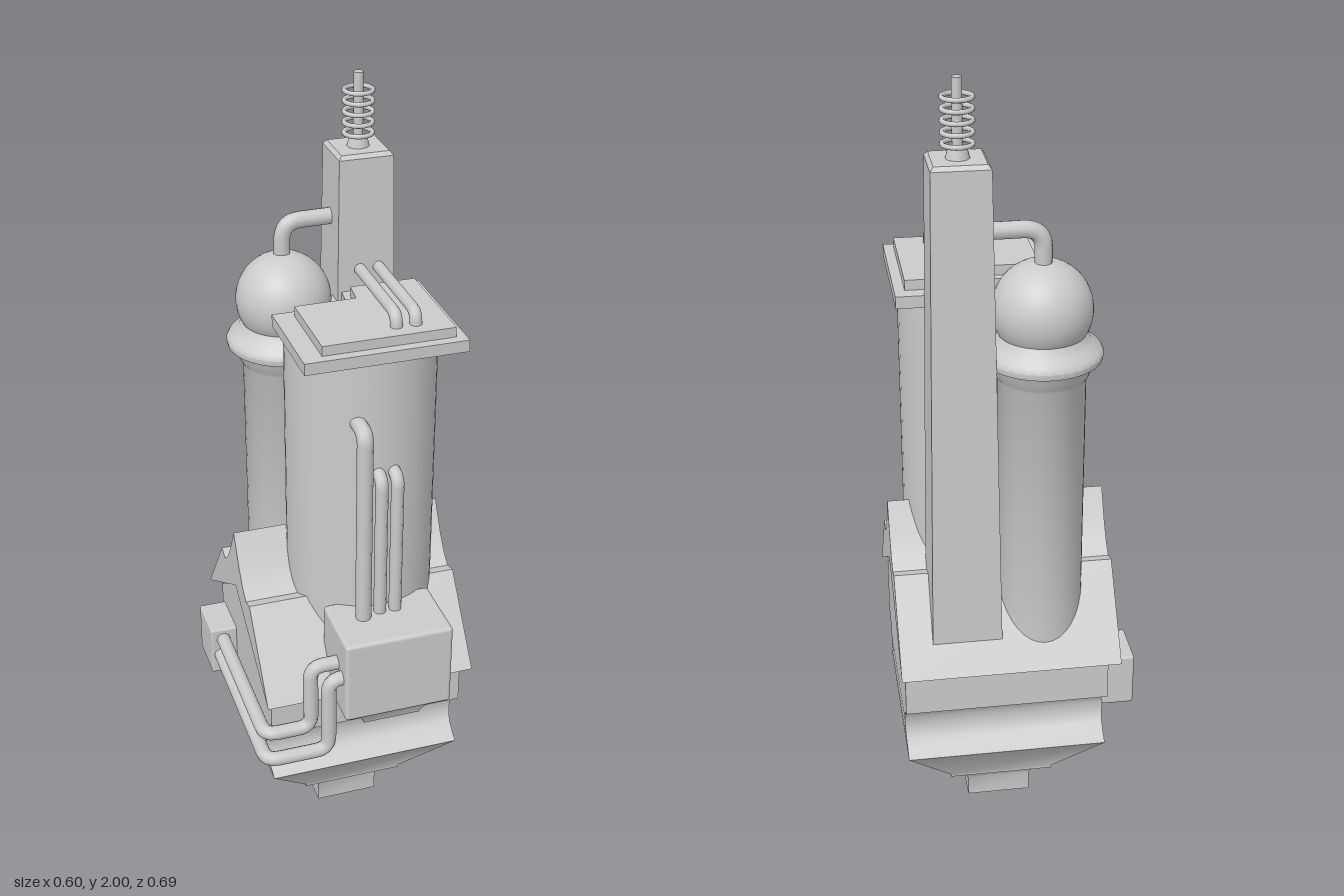
import * as THREE from 'three';
import { toCreasedNormals } from 'three/addons/utils/BufferGeometryUtils.js';
import { RoundedBoxGeometry } from 'three/addons/geometries/RoundedBoxGeometry.js';

const V = (x, y, z) => new THREE.Vector3(x, y, z);

export function createModel() {
  const model = new THREE.Group();
  const material = new THREE.MeshStandardMaterial({ color: 0xcccccc });

  function add(name, geometry, x = 0, y = 0, z = 0) {
    const mesh = new THREE.Mesh(geometry, material);
    mesh.name = name;
    mesh.position.set(x, y, z);
    model.add(mesh);
    return mesh;
  }

  // Rectangular cross-sections [y, halfX, halfZ] joined from bottom to top
  function loft(rings, crease = 0.6) {
    const corners = [[-1, 1], [1, 1], [1, -1], [-1, -1]];
    const positions = [];
    const indices = [];
    for (const [y, hx, hz] of rings)
      for (const [sx, sz] of corners) positions.push(sx * hx, y, sz * hz);
    for (let r = 0; r < rings.length - 1; r++) {
      for (let i = 0; i < 4; i++) {
        const a = r * 4 + i, b = r * 4 + (i + 1) % 4;
        indices.push(a, b, b + 4, a, b + 4, a + 4);
      }
    }
    const t = (rings.length - 1) * 4;
    indices.push(0, 2, 1, 0, 3, 2, t, t + 1, t + 2, t, t + 2, t + 3);
    const g = new THREE.BufferGeometry();
    g.setAttribute('position', new THREE.Float32BufferAttribute(positions, 3));
    g.setIndex(indices);
    return toCreasedNormals(g, crease);
  }

  // Tube through points, each inner corner rounded off by bend
  function pipe(name, points, radius, bend = 0.04) {
    const path = new THREE.CurvePath();
    let from = points[0];
    for (let i = 1; i < points.length - 1; i++) {
      const p = points[i];
      const before = p.clone().add(points[i - 1].clone().sub(p).setLength(bend));
      const after = p.clone().add(points[i + 1].clone().sub(p).setLength(bend));
      path.add(new THREE.LineCurve3(from, before));
      path.add(new THREE.QuadraticBezierCurve3(before, p, after));
      from = after;
    }
    path.add(new THREE.LineCurve3(from, points[points.length - 1]));
    add(name, new THREE.TubeGeometry(path, 72, radius, 10));
  }

  // Body: stem, flared hopper, grooved front and back, gable ends
  add('body', loft([
    [0, 0.083, 0.083], [0.055, 0.083, 0.083], [0.07, 0.09, 0.09], [0.085, 0.103, 0.103],
    [0.105, 0.135, 0.135], [0.112, 0.135, 0.135], [0.262, 0.255, 0.25], [0.275, 0.255, 0.225],
    [0.295, 0.256, 0.2], [0.32, 0.257, 0.19], [0.35, 0.258, 0.19], [0.375, 0.258, 0.2],
    [0.395, 0.258, 0.222], [0.405, 0.258, 0.247], [0.56, 0.258, 0.247], [0.715, 0.258, 0.001],
  ], 0.7), 0.027, 0, -0.047);

  // Roof: ridge profile with concave crown, run along x
  const half = [[0.3, 0.54], [0.14, 0.75], [0.105, 0.74], [0.075, 0.765], [0.045, 0.805], [0, 0.885]];
  const roofShape = new THREE.Shape([
    ...half, ...half.slice(0, -1).reverse().map(([z, y]) => [-z, y]), [0, 0.722],
  ].map(([z, y]) => new THREE.Vector2(z - 0.047, y)));
  const roof = new THREE.ExtrudeGeometry(roofShape, { depth: 0.55, bevelEnabled: false });
  roof.rotateY(-Math.PI / 2);
  add('roof', toCreasedNormals(roof, 0.5), 0.297);

  // Main round tower with a two-step cap
  add('tower', new THREE.CylinderGeometry(0.187, 0.187, 0.9, 48), 0.065, 1.0, 0.01);
  function plate(name, outline, y, height) {
    const shape = new THREE.Shape(outline.map(([x, z]) => new THREE.Vector2(x, -z)));
    const g = new THREE.ExtrudeGeometry(shape, { depth: height, bevelEnabled: false });
    add(name, g.rotateX(-Math.PI / 2), 0, y, 0);
  }
  plate('towerCap', [[-0.135, 0.205], [0.268, 0.205], [0.268, -0.145], [0.065, -0.145],
    [0.055, -0.065], [-0.135, -0.065]], 1.445, 0.03);
  plate('towerCapTop', [[-0.085, 0.18], [0.243, 0.18], [0.243, -0.107], [0.077, -0.107],
    [0.07, -0.042], [-0.085, -0.042]], 1.475, 0.025);

  // Tapered chimney with softened edges at the top
  add('chimney', loft([
    [0.58, 0.087, 0.088], [1.81, 0.068, 0.066], [1.82, 0.06, 0.058],
  ]), 0.127, 0, -0.207);

  // Rod, collar and stacked rings on the chimney
  add('rodCollar', new THREE.CylinderGeometry(0.022, 0.028, 0.025, 20), 0.127, 1.83, -0.207);
  add('rod', new THREE.CylinderGeometry(0.012, 0.012, 0.18, 16), 0.127, 1.91, -0.207);
  for (let i = 0; i < 5; i++) {
    const ring = new THREE.TorusGeometry(0.034, 0.006, 8, 28).rotateX(Math.PI / 2);
    add('rodRing', ring, 0.127, 1.852 + i * 0.026, -0.207);
  }

  // Domed tank behind the tower
  const tankProfile = [[0.105, 0.55], [0.105, 1.28], [0.112, 1.29], [0.119, 1.31], [0.126, 1.325],
    [0.142, 1.33], [0.145, 1.345], [0.138, 1.358], [0.118, 1.37], [0.107, 1.385], [0.1, 1.4]];
  const tank = new THREE.LatheGeometry(tankProfile.map(p => new THREE.Vector2(...p)), 36);
  add('tank', toCreasedNormals(tank, 0.7), -0.067, 0, -0.2);
  add('tankDome', new THREE.SphereGeometry(0.119, 36, 24), -0.067, 1.45, -0.2);
  pipe('domePipe', [V(0.09, 1.648, -0.21), V(-0.067, 1.648, -0.207), V(-0.067, 1.54, -0.207)], 0.021, 0.05);

  // Paired pipes from chimney to tower cap
  for (const x of [0.111, 0.159])
    pipe('capPipe', [V(x, 1.53, -0.17), V(x, 1.53, 0.13), V(x, 1.48, 0.135)], 0.015, 0.025);

  // Front box with tapered underside
  add('frontBox', new RoundedBoxGeometry(0.28, 0.23, 0.19, 2, 0.01), 0.062, 0.645, 0.252);
  add('frontBoxHopper', loft([
    [0.46, 0.075, 0.04], [0.475, 0.08, 0.045], [0.525, 0.1, 0.08], [0.54, 0.1, 0.08],
  ]), 0.067, 0, 0.242);

  // Risers from the front box into the tower
  for (const [x, top, z, r] of [[0.003, 1.285, 0.235, 0.02], [0.051, 1.147, 0.222, 0.016], [0.091, 1.147, 0.222, 0.016]])
    pipe('riserPipe', [V(x, 0.72, z), V(x, top, z), V(x, top, 0.15)], r, 0.03);

  // Side box with two feed pipes wrapping round the corner
  add('sideBox', new RoundedBoxGeometry(0.08, 0.14, 0.13, 2, 0.006), -0.262, 0.44, -0.213);
  for (const [topY, dropX, lowY, z, sideX] of [[0.665, -0.147, 0.478, 0.273, -0.268], [0.645, -0.112, 0.428, 0.312, -0.276]]) {
    pipe('feedPipe', [
      V(-0.05, topY, z), V(dropX, topY, z), V(dropX, lowY, z),
      V(sideX, lowY, z), V(sideX, lowY, -0.18),
    ], 0.019, 0.034);
  }
  return model;
}
